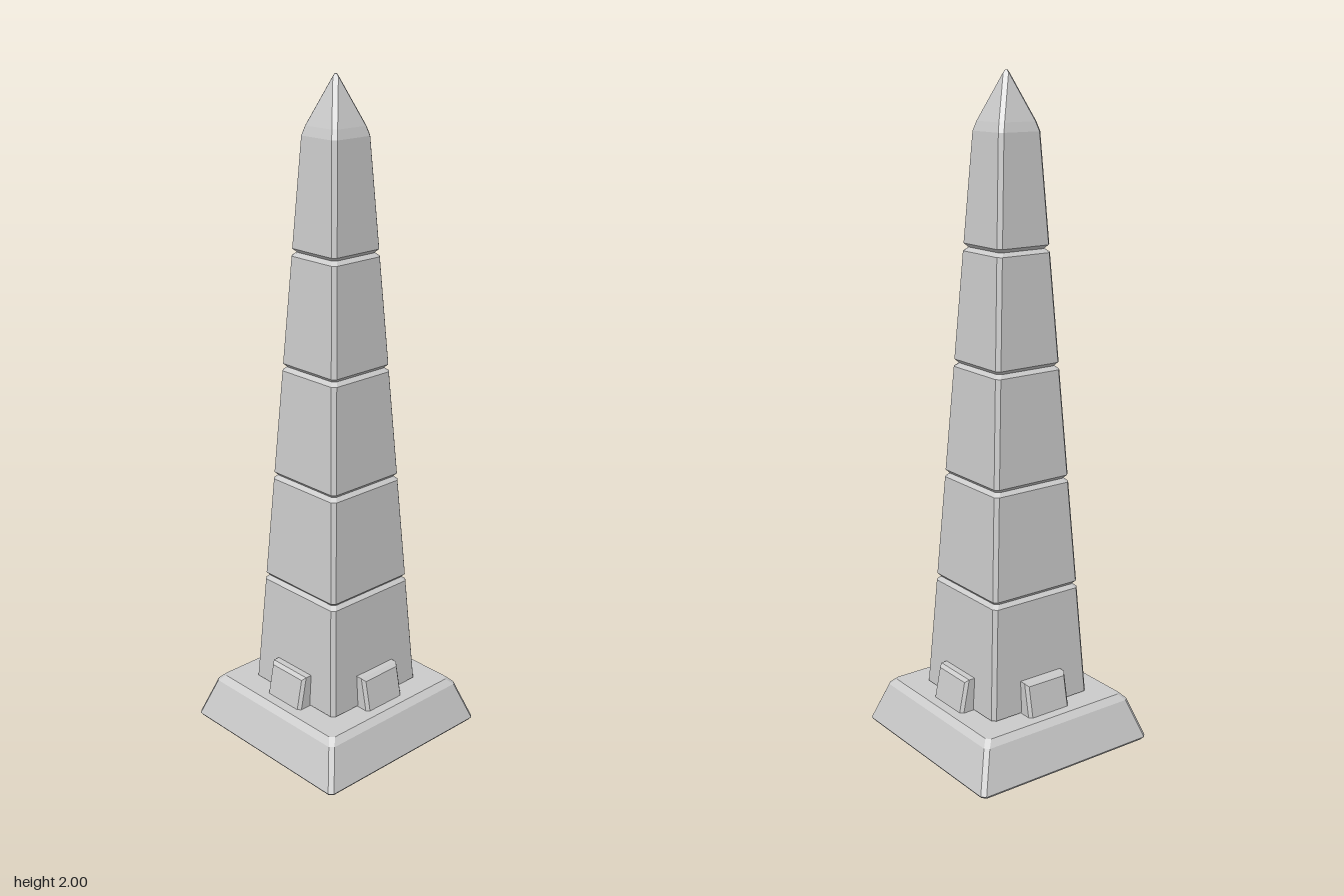
import * as THREE from 'three';

const material = new THREE.MeshStandardMaterial({ color: 0xcccccc, flatShading: true });

// Solid lofted through square rings with cut corners: [y, halfWidth, cornerCut]
function loft(name, rings) {
  const loops = rings.map(([y, h, c]) => {
    const k = h - c;
    return [[h, -k], [h, k], [k, h], [-k, h], [-h, k], [-h, -k], [-k, -h], [k, -h]]
      .map(([x, z]) => [x, y, z]);
  });
  const pos = [];
  const tri = (...corners) => corners.forEach((p) => pos.push(...p));
  const last = loops.length - 1;
  for (let j = 0; j < 8; j++) {
    const n = (j + 1) % 8;
    for (let i = 0; i < last; i++) {
      const a = loops[i][j], b = loops[i][n], c = loops[i + 1][n], d = loops[i + 1][j];
      tri(a, d, c);
      tri(a, c, b);
    }
    tri([0, rings[0][0], 0], loops[0][j], loops[0][n]);
    tri([0, rings[last][0], 0], loops[last][n], loops[last][j]);
  }
  const geometry = new THREE.BufferGeometry();
  geometry.setAttribute('position', new THREE.Float32BufferAttribute(pos, 3));
  geometry.computeVertexNormals();
  const mesh = new THREE.Mesh(geometry, material);
  mesh.name = name;
  return mesh;
}

// Bevelled slab whose faces lean back toward the shaft
function buttressGeometry() {
  const b = 0.009, w = 0.074 - b, y0 = 0.13 + b, y1 = 0.25 - b;
  const shape = new THREE.Shape();
  shape.moveTo(-w, y0);
  shape.lineTo(w, y0);
  shape.lineTo(w, y1);
  shape.lineTo(-w, y1);
  shape.closePath();
  const geometry = new THREE.ExtrudeGeometry(shape, {
    depth: 0.06, bevelEnabled: true, bevelThickness: b, bevelSize: b, bevelSegments: 1,
  });
  const p = geometry.attributes.position;
  for (let i = 0; i < p.count; i++) {
    p.setZ(i, p.getZ(i) + 0.152 - 0.2 * (p.getY(i) - 0.145));
  }
  geometry.computeVertexNormals();
  return geometry;
}

export function createModel() {
  const model = new THREE.Group();
  model.name = 'obelisk';

  // Sloping plinth with bevelled rims
  model.add(loft('plinth', [
    [0, 0.302, 0.012], [0.01, 0.31, 0.012], [0.13, 0.268, 0.012], [0.148, 0.25, 0.012],
  ]));

  // Tapering shaft blocks, meeting in bevelled grooves
  const joints = [0.14, 0.5, 0.832, 1.171, 1.51];
  const half = (y) => 0.178 - 0.0625 * (y - 0.14);
  const bevel = 0.011, cut = 0.011;
  for (let i = 0; i < 4; i++) {
    const y0 = joints[i], y1 = joints[i + 1];
    const low = y0 + bevel, high = y1 - bevel;
    const foot = i ? [[y0, half(y0) - bevel, cut]] : [];
    model.add(loft('shaftBlock' + (i + 1), [
      ...foot, [low, half(low), cut], [high, half(high), cut], [y1, half(y1) - bevel, cut],
    ]));
  }

  // Top block and pointed cap
  model.add(loft('capBlock', [
    [1.51, half(1.51) - bevel, cut], [1.521, half(1.521), cut],
    [1.835, 0.072, cut], [1.862, 0.064, cut], [1.992, 0.011, 0.0105], [2, 0.004, 0.0035],
  ]));

  // One small buttress on each side
  const slab = buttressGeometry();
  ['front', 'left', 'back', 'right'].forEach((side, i) => {
    const mesh = new THREE.Mesh(slab, material);
    mesh.name = side + 'Buttress';
    mesh.rotation.y = i * Math.PI / 2;
    model.add(mesh);
  });
  return model;
}
